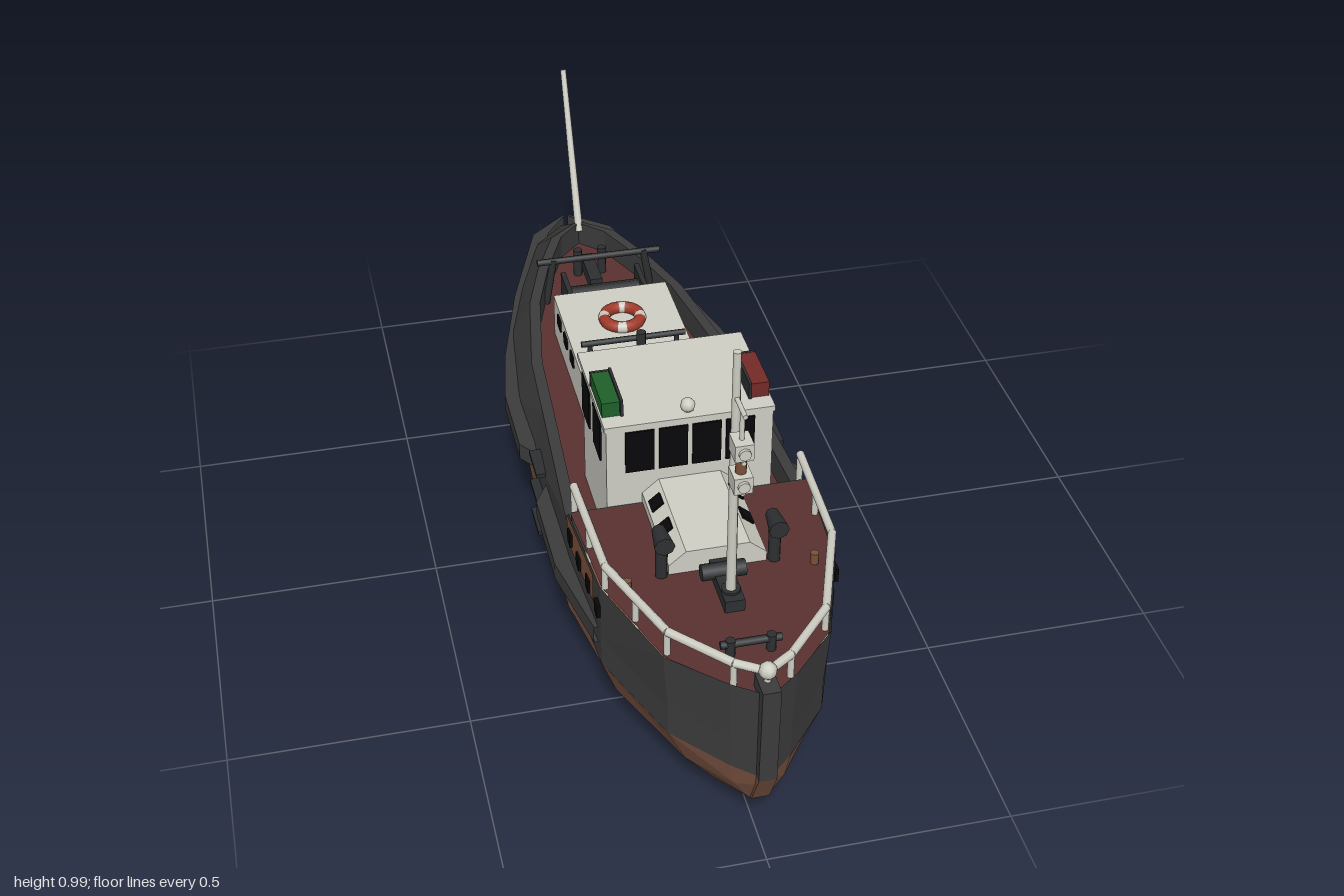
import * as THREE from 'three';

const mat = (name, color, side = THREE.FrontSide) => {
  const m = new THREE.MeshStandardMaterial({ color, side });
  m.name = name;
  return m;
};

export function createModel() {
  const D = THREE.DoubleSide;
  const dark = mat('charcoal hull', 0x3c3c3c, D);
  const bottom = mat('antifouling brown', 0x76503f, D);
  const deckRed = mat('deck red', 0x5a3030, D);
  const white = mat('off white', 0xcfcec4, D);
  const black = mat('window black', 0x08080a);
  const metal = mat('dark metal', 0x2d2f31);
  const brown = mat('wood brown', 0x7b5139, D);
  const green = mat('starboard green', 0x1f602a);
  const red = mat('port red', 0x742a26);
  const buoyRed = mat('lifebuoy red', 0xa03a2a);

  const root = new THREE.Group();
  root.name = 'tugboat';

  const add = (name, geo, m, x = 0, y = 0, z = 0) => {
    const mesh = new THREE.Mesh(geo, m);
    mesh.name = name;
    mesh.position.set(x, y, z);
    root.add(mesh);
    return mesh;
  };
  const box = (name, m, w, h, d, x, y, z) => add(name, new THREE.BoxGeometry(w, h, d), m, x, y, z);
  const both = (fn) => [-1, 1].forEach(fn);
  // Straight round bar between two points
  const rod = (name, m, a, b, r, r2 = r) => {
    const A = new THREE.Vector3(...a), B = new THREE.Vector3(...b);
    const mesh = add(name, new THREE.CylinderGeometry(r2, r, A.distanceTo(B), 8), m);
    mesh.position.copy(A).add(B).multiplyScalar(0.5);
    mesh.quaternion.setFromUnitVectors(new THREE.Vector3(0, 1, 0), B.sub(A).normalize());
  };
  // Faceted skin through rows of points
  const loft = (name, m, rows) => {
    const p = [];
    for (let i = 0; i < rows.length - 1; i++) {
      for (let j = 0; j < rows[i].length - 1; j++) {
        const a = rows[i][j], b = rows[i][j + 1], c = rows[i + 1][j + 1], d = rows[i + 1][j];
        p.push(...a, ...d, ...b, ...b, ...d, ...c);
      }
    }
    const g = new THREE.BufferGeometry();
    g.setAttribute('position', new THREE.Float32BufferAttribute(p, 3));
    g.computeVertexNormals();
    add(name, g, m);
  };
  // Side profile in (z, y), extruded across the boat
  const slab = (name, m, pts, w) => {
    const g = new THREE.ExtrudeGeometry(new THREE.Shape(pts.map((q) => new THREE.Vector2(...q))),
      { depth: w, bevelEnabled: false });
    g.rotateY(-Math.PI / 2).translate(w / 2, 0, 0);
    add(name, g, m);
  };

  // Hull stations: z, keel height, then half widths at bilge, chine, rail and top
  const stations = [
    [0.97, 0.17, 0.01, 0.012, 0.015, 0.015],
    [0.93, 0.10, 0.02, 0.05, 0.06, 0.065],
    [0.82, 0.05, 0.06, 0.12, 0.155, 0.165],
    [0.60, 0.04, 0.13, 0.21, 0.24, 0.24],
    [0.36, 0.04, 0.17, 0.25, 0.256, 0.256],
    [0.33, 0.04, 0.175, 0.256, 0.256, 0.256],
    [-0.05, 0.04, 0.175, 0.256, 0.26, 0.235],
    [-0.24, 0.04, 0.14, 0.235, 0.265, 0.225],
    [-0.50, 0.05, 0.03, 0.11, 0.235, 0.185],
    [-0.70, 0.12, 0.016, 0.065, 0.175, 0.14],
    [-0.90, 0.19, 0.016, 0.045, 0.1, 0.08],
    [-0.98, 0.23, 0.003, 0.005, 0.015, 0.012],
  ].map(([z, keelY, bilge, chine, rail, top]) => {
    const waterY = 0.2 + Math.max(0, -0.1 - z) * 0.04;
    return {
      z, keelY, bilge, chine, rail, top, waterY,
      water: rail * (1 + Math.min(0, z) * 0.12),
      chineY: (keelY + waterY) / 2,
      railY: z > 0.2 ? 0.27 : 0.26,
      topY: z > 0.35 ? 0.4 + Math.max(0, z - 0.82) * 0.1 : 0.36,
      topZ: z + Math.max(0, -0.45 - z) * 0.3, // bulwark rakes forward at the stern
    };
  });
  loft('lowerHull', bottom, stations.map((q) => {
    const side = (s) => [[s * q.water, q.waterY, q.z], [s * q.chine, q.chineY, q.z], [s * q.bilge, q.keelY + 0.005, q.z]];
    return [...side(-1), [0, q.keelY, q.z], ...side(1).reverse()];
  }));
  both((s) => {
    loft('hullSide', dark, stations.map((q) => [
      [s * q.water, q.waterY, q.z], [s * q.rail, q.railY, q.z], [s * q.top, q.topY, q.topZ]]));
    // Bulwark cap and inner face around the low deck
    loft('bulwarkCap', dark, stations.slice(5).map((q) => {
      const x = Math.max(q.top - 0.025, 0);
      return [[s * q.top, q.topY, q.topZ], [s * x, q.topY, q.topZ], [s * x, 0.29, q.topZ]];
    }));
    // Rubbing rails, parted amidships
    const rail = (pts) => loft('rubbingRail', dark, pts.map(([x, z, t]) => [
      [s * (x - t), 0.28, z], [s * x, 0.28, z], [s * x, 0.24, z], [s * (x - t), 0.24, z]]));
    rail([[0.25, 0.58, 0.02], [0.29, 0.37, 0.04], [0.29, 0.16, 0.04], [0.255, 0.1, 0.01]]);
    rail([[0.255, 0.0, 0.01], [0.29, -0.05, 0.04], [0.29, -0.24, 0.04], [0.262, -0.4, 0.04],
      [0.195, -0.65, 0.04], [0.1, -0.92, 0.04], [0.005, -1.0, 0.005]]);
    // Boarding rungs
    [0.14, 0.22, 0.3].forEach((y) => box('boardingRung', metal, 0.03, 0.009, 0.09, s * 0.263, y, 0.055));
    // Wood panels and ports below the foredeck
    loft('sidePanel', brown, [0.56, 0.36].map((z) => {
      const x = s * (0.26 - (z - 0.36) * 0.0667);
      return [[x, 0.33, z], [x, 0.4, z]];
    }));
    [[0.59, 0.34], [0.525, 0.35], [0.455, 0.35], [0.39, 0.36]].forEach(([z, y]) =>
      box('hullPort', black, 0.008, 0.032, 0.026, s * (0.261 - (z - 0.36) * 0.07), y, z));
  });
  const deck = (name, y, list, inset) => loft(name, deckRed, list.map((q) => {
    const x = Math.max(q.top - inset, 0);
    return [[-x, y, q.topZ], [x, y, q.topZ]];
  }));
  deck('foredeck', 0.398, stations.slice(0, 5), 0.004);
  deck('mainDeck', 0.3, stations.slice(4), 0.01);
  box('foredeckBulkhead', dark, 0.5, 0.1, 0.01, 0, 0.347, 0.36);

  // Stem, keel and stern gear
  slab('stemBar', dark, [[0.93, 0.2], [0.985, 0.2], [0.99, 0.43], [0.93, 0.43]], 0.036);
  slab('forefoot', bottom, [[0.62, 0], [0.7, 0.012], [0.83, 0.045], [0.94, 0.11], [0.985, 0.2],
    [0.93, 0.2], [0.88, 0.13], [0.78, 0.09], [0.62, 0.06]], 0.036);
  box('keel', bottom, 0.036, 0.06, 1.1, 0, 0.03, 0.08);
  slab('skeg', bottom, [[-0.1, 0], [-0.75, 0], [-0.75, 0.2], [-0.6, 0.2], [-0.1, 0.06]], 0.032);
  box('rudderShoe', bottom, 0.03, 0.016, 0.12, 0, 0.008, -0.8);
  box('rudder', bottom, 0.016, 0.1, 0.085, 0, 0.103, -0.867);
  rod('rudderStock', bottom, [0, 0.01, -0.838], [0, 0.23, -0.838], 0.01);
  rod('propellerShaft', metal, [0, 0.1, -0.74], [0, 0.1, -0.805], 0.012);
  for (let i = 0; i < 4; i++) {
    const a = i * Math.PI / 2 + 0.4;
    const blade = box('propellerBlade', bottom, 0.028, 0.045, 0.006, -Math.sin(a) * 0.028, 0.1 + Math.cos(a) * 0.028, -0.785);
    blade.rotation.set(0, 0.4, a, 'ZYX');
  }

  // Wheelhouse, open at the back
  both((s) => {
    box('wheelhouseSide', white, 0.012, 0.29, 0.235, s * 0.168, 0.445, 0.235);
    box('wheelhouseBackPanel', white, 0.07, 0.29, 0.01, s * 0.135, 0.445, 0.122);
    [0.27, 0.158].forEach((z) => box('sideWindow', black, 0.006, 0.1, 0.07, s * 0.175, 0.53, z));
    // Sidelight in its dark screen
    box('sidelightScreen', metal, 0.006, 0.04, 0.12, s * 0.134, 0.615, 0.26);
    box('sidelightBackScreen', metal, 0.04, 0.036, 0.006, s * 0.156, 0.613, 0.202);
    box('sidelight', s < 0 ? green : red, 0.037, 0.034, 0.11, s * 0.156, 0.614, 0.261);
  });
  box('wheelhouseFront', white, 0.348, 0.29, 0.012, 0, 0.445, 0.347);
  box('wheelhouseRoof', white, 0.356, 0.012, 0.275, 0, 0.591, 0.217);
  for (let i = 0; i < 4; i++) box('frontWindow', black, 0.06, 0.1, 0.006, -0.105 + i * 0.07, 0.53, 0.354);
  add('steeringWheel', new THREE.TorusGeometry(0.04, 0.005, 6, 16), brown, 0, 0.44, 0.28);
  box('wheelPedestal', brown, 0.04, 0.14, 0.04, 0, 0.37, 0.31);
  add('searchlight', new THREE.SphereGeometry(0.016, 8, 6), white, 0, 0.611, 0.33);

  // Foredeck skylight
  const trunk = new THREE.Shape([[-0.1, 0.395], [0.1, 0.395], [0.1, 0.42], [0.065, 0.45], [-0.065, 0.45], [-0.1, 0.42]]
    .map((q) => new THREE.Vector2(...q)));
  add('skylight', new THREE.ExtrudeGeometry(trunk, { depth: 0.24, bevelEnabled: false }), white, 0, 0, 0.35);
  both((s) => {
    [0.41, 0.49].forEach((z) => {
      box('skylightPane', black, 0.03, 0.006, 0.035, s * 0.0835, 0.436, z).rotation.z = -s * 0.71;
    });
    // Cowl ventilators
    rod('ventPipe', metal, [s * 0.115, 0.4, 0.59], [s * 0.115, 0.49, 0.59], 0.013);
    rod('ventCowl', metal, [s * 0.115, 0.495, 0.565], [s * 0.115, 0.495, 0.62], 0.014, 0.021);
    rod('sideBollard', brown, [s * 0.19, 0.4, 0.62], [s * 0.19, 0.425, 0.62], 0.009);
  });

  // Bow railing
  const half = [[0.24, 0.34], [0.23, 0.6], [0.155, 0.81], [0.055, 0.92]];
  const line = [...half, [0, 0.955], ...half.map(([x, z]) => [-x, z]).reverse()];
  line.slice(1).forEach(([x, z], i) => {
    const [px, pz] = line[i];
    rod('railBar', white, [px, 0.453, pz], [x, 0.453, z], 0.009);
    const n = Math.max(1, Math.round(Math.hypot(x - px, z - pz) / 0.12));
    for (let k = 0; k < n; k++) {
      const X = px + (x - px) * k / n, Z = pz + (z - pz) * k / n;
      rod('railPost', white, [X, 0.36, Z], [X, 0.455, Z], 0.007);
    }
  });
  rod('railPost', white, [-0.24, 0.36, 0.34], [-0.24, 0.455, 0.34], 0.007);
  add('bowLamp', new THREE.SphereGeometry(0.018, 8, 6), white, 0, 0.455, 0.955);

  // Signal mast with lamps
  rod('mast', white, [0, 0.395, 0.69], [0, 0.985, 0.69], 0.011, 0.008);
  rod('lampStay', white, [0, 0.82, 0.735], [0, 0.885, 0.735], 0.005);
  rod('lampLink', brown, [0, 0.745, 0.735], [0, 0.79, 0.735], 0.011);
  [0.71, 0.78, 0.885].forEach((y) => rod('mastBracket', white, [0, y, 0.69], [0, y, 0.755], 0.005));
  [0.73, 0.805].forEach((y) => {
    box('mastLamp', white, 0.036, 0.036, 0.045, 0, y, 0.735);
    rod('lampLens', white, [0, y, 0.755], [0, y, 0.764], 0.012);
  });
  rod('mastFoot', metal, [0, 0.395, 0.69], [0, 0.43, 0.69], 0.02);

  // Windlass and bow bitts
  box('windlassBed', metal, 0.04, 0.03, 0.13, 0, 0.41, 0.66);
  rod('windlassDrum', metal, [-0.045, 0.425, 0.63], [0.045, 0.425, 0.63], 0.017);
  rod('bittBar', metal, [-0.06, 0.425, 0.84], [0.06, 0.425, 0.84], 0.008);
  both((s) => rod('bowBitt', metal, [s * 0.04, 0.395, 0.84], [s * 0.04, 0.435, 0.84], 0.01));

  // Aft cabin
  box('aftCabin', white, 0.27, 0.11, 0.39, 0, 0.35, -0.243);
  both((s) => [-0.21, -0.285, -0.36].forEach((z) =>
    box('cabinWindow', black, 0.006, 0.028, 0.035, s * 0.136, 0.378, z)));
  const buoy = new THREE.Group();
  buoy.name = 'lifebuoy';
  for (let i = 0; i < 8; i++) {
    const arc = i % 2 ? Math.PI / 8 : Math.PI * 3 / 8;
    const seg = new THREE.Mesh(new THREE.TorusGeometry(0.042, 0.014, 8, 4, arc), i % 2 ? white : buoyRed);
    seg.name = 'lifebuoySegment';
    seg.rotation.z = Math.floor(i / 2) * Math.PI / 2 + (i % 2) * Math.PI * 3 / 8;
    buoy.add(seg);
  }
  buoy.rotation.x = -Math.PI / 2;
  buoy.position.set(0, 0.414, -0.3);
  root.add(buoy);
  rod('cabinBar', metal, [-0.12, 0.435, -0.18], [0.12, 0.435, -0.18], 0.007);
  both((s) => rod('cabinBarPost', metal, [s * 0.1, 0.4, -0.18], [s * 0.1, 0.435, -0.18], 0.006));
  rod('exhaustPipe', metal, [0, 0.4, -0.1], [0, 0.505, -0.1], 0.011);
  [-0.08, -0.04, 0.04, 0.08].forEach((x) => rod('cabinVent', metal, [x, 0.4, -0.06], [x, 0.43, -0.06], 0.011));
  rod('hatchPost', metal, [0.03, 0.3, -0.02], [0.03, 0.47, -0.02], 0.012);
  box('engineHatch', deckRed, 0.07, 0.04, 0.1, 0, 0.32, 0.03);

  // Towing winch, towing bow and bitts
  both((s) => {
    box('winchCheek', metal, 0.012, 0.09, 0.11, s * 0.09, 0.345, -0.5);
    rod('towingBowLeg', metal, [s * 0.13, 0.3, -0.57], [s * 0.11, 0.42, -0.57], 0.009);
    rod('towingBitt', metal, [s * 0.03, 0.3, -0.68], [s * 0.03, 0.37, -0.68], 0.011);
  });
  rod('winchDrum', metal, [-0.09, 0.345, -0.5], [0.09, 0.345, -0.5], 0.033);
  box('winchBed', metal, 0.19, 0.02, 0.12, 0, 0.31, -0.5);
  rod('towingBow', metal, [-0.15, 0.415, -0.57], [0.15, 0.415, -0.57], 0.008);
  rod('bittCrossbar', metal, [-0.05, 0.345, -0.68], [0.05, 0.345, -0.68], 0.008);
  box('towingHookBed', metal, 0.03, 0.03, 0.12, 0, 0.315, -0.66);

  // Stern flagstaff
  rod('flagstaff', white, [0, 0.34, -0.815], [0, 0.71, -0.98], 0.01, 0.007);
  return root;
}
